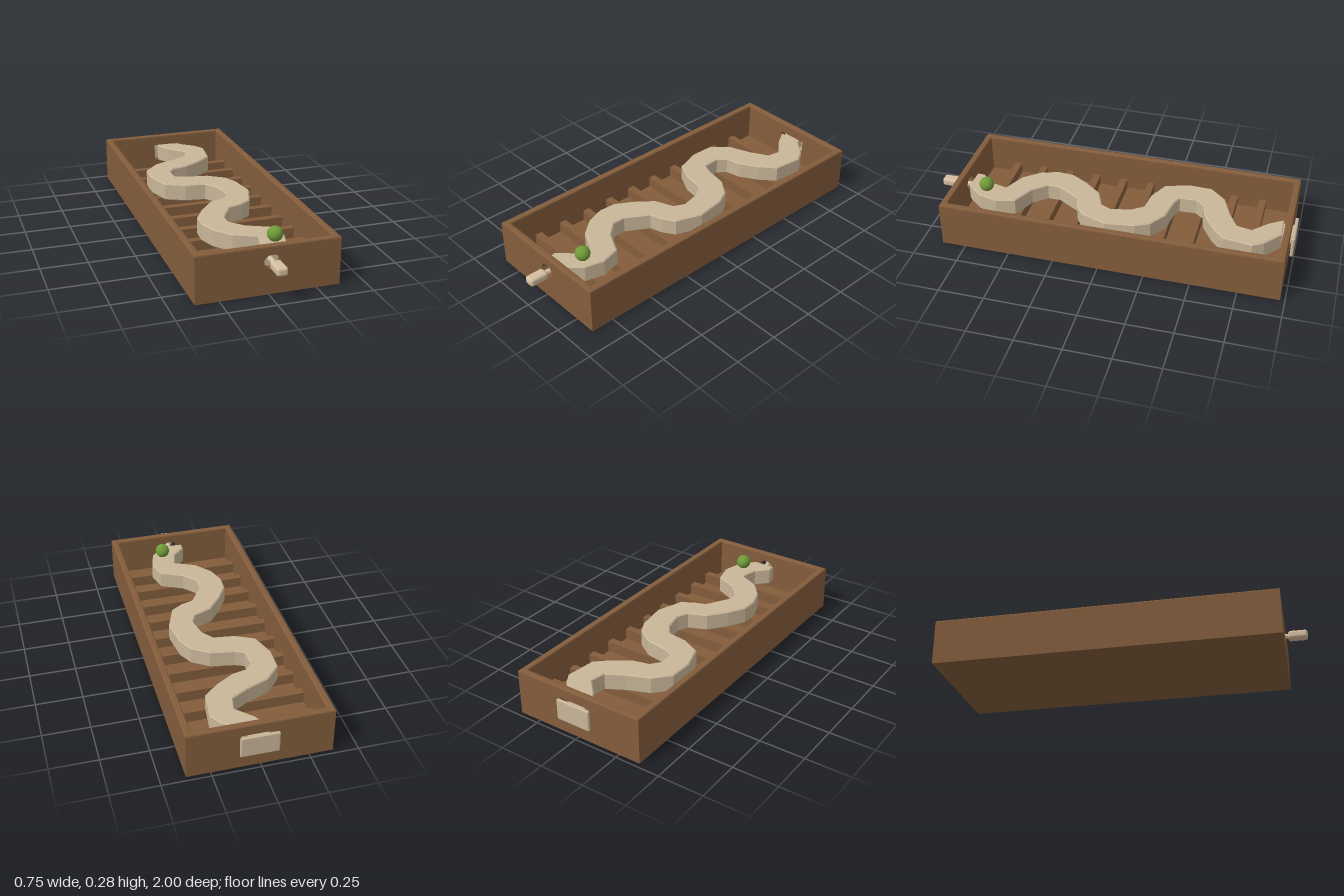
import * as THREE from 'three';
import { RoundedBoxGeometry } from 'three/addons/geometries/RoundedBoxGeometry.js';

const wood = new THREE.MeshStandardMaterial({ color: 0x835d3c });
wood.name = 'brown wood';
const pale = new THREE.MeshStandardMaterial({ color: 0xc9b699 });
pale.name = 'pale wood';
const handleTan = new THREE.MeshStandardMaterial({ color: 0xd6bea0 });
handleTan.name = 'handle tan';
const green = new THREE.MeshStandardMaterial({ color: 0x6f9a38 });
green.name = 'green';

// Tray dimensions
const HALF_W = 0.373, FRONT = 0.88, BACK = -0.975, WALL = 0.036, TOP = 0.254, EDGE = 0.008;
const LENGTH = FRONT - BACK, MID_Z = (FRONT + BACK) / 2;
const FLOOR_Y = 0.04, TRACK_TOP = 0.195, TRACK_BOTTOM = 0.097;

// Track edges as x, z pairs, running from back to front
const leftEdge = [
  -0.053, -0.926, -0.005, -0.847, 0.074, -0.767, 0.058, -0.688, -0.037, -0.635, -0.159, -0.587,
  -0.238, -0.5, -0.243, -0.37, -0.2, -0.238, -0.095, -0.185, 0.016, -0.17, 0.063, -0.106,
  0.085, 0, 0.058, 0.058, -0.042, 0.1, -0.12, 0.196, -0.175, 0.29, -0.18, 0.38,
  -0.148, 0.476, -0.074, 0.566, 0.04, 0.62, 0.016, 0.714, -0.048, 0.778, -0.048, 0.822,
];
const rightEdge = [
  0.074, -0.93, 0.17, -0.85, 0.206, -0.79, 0.185, -0.63, 0.106, -0.56, 0.01, -0.5,
  -0.074, -0.48, -0.11, -0.434, -0.106, -0.344, -0.058, -0.323, 0.07, -0.3, 0.16, -0.238,
  0.2, -0.16, 0.222, 0, 0.17, 0.143, 0.106, 0.185, 0.037, 0.206, -0.037, 0.33,
  -0.037, 0.397, 0.026, 0.47, 0.148, 0.53, 0.175, 0.635, 0.148, 0.74, 0.074, 0.825,
];

function add(parent, name, geometry, material, x = 0, y = 0, z = 0) {
  const mesh = new THREE.Mesh(geometry, material);
  mesh.name = name;
  mesh.position.set(x, y, z);
  parent.add(mesh);
  return mesh;
}

function rect(path, x0, y0, x1, y1) {
  path.moveTo(x0, y0);
  path.lineTo(x1, y0);
  path.lineTo(x1, y1);
  path.lineTo(x0, y1);
  path.closePath();
  return path;
}

// End wall with an opening for the handle or plate
function endWall(hole) {
  const shape = rect(new THREE.Shape(), -HALF_W, 0, HALF_W, TOP - EDGE);
  shape.holes.push(hole);
  return new THREE.ExtrudeGeometry(shape, { depth: WALL, bevelEnabled: false, curveSegments: 20 });
}

function buildTray() {
  const tray = new THREE.Group();
  tray.name = 'tray';
  const innerW = 2 * (HALF_W - WALL), innerL = LENGTH - 2 * WALL;
  add(tray, 'floor', new THREE.BoxGeometry(innerW, FLOOR_Y, innerL), wood, 0, FLOOR_Y / 2, MID_Z);

  for (const side of [-1, 1]) {
    add(tray, side > 0 ? 'leftWall' : 'rightWall', new THREE.BoxGeometry(WALL, TOP - EDGE, innerL),
      wood, side * (HALF_W - WALL / 2), (TOP - EDGE) / 2, MID_Z);
  }
  const roundHole = new THREE.Path().absellipse(0.017, 0.17, 0.043, 0.036, 0, Math.PI * 2, true);
  add(tray, 'frontWall', endWall(roundHole), wood, 0, 0, FRONT - WALL);
  add(tray, 'backWall', endWall(rect(new THREE.Path(), -0.07, 0.1, 0.1, 0.195)), wood, 0, 0, BACK);

  // Chamfered rim on top of the walls
  const ring = rect(new THREE.Shape(), -HALF_W + EDGE, -LENGTH / 2 + EDGE, HALF_W - EDGE, LENGTH / 2 - EDGE);
  const hx = HALF_W - WALL + EDGE, hz = LENGTH / 2 - WALL + EDGE;
  ring.holes.push(rect(new THREE.Path(), -hx, -hz, hx, hz));
  const rim = new THREE.ExtrudeGeometry(ring, {
    depth: 0.0002, bevelThickness: EDGE, bevelSize: EDGE, bevelSegments: 2,
  });
  rim.rotateX(-Math.PI / 2);
  add(tray, 'rim', rim, wood, 0, TOP - EDGE, MID_Z);

  // Evenly spaced ribs under the track
  for (let i = 1; i <= 10; i++) {
    const z = BACK + WALL + (innerL * i) / 11;
    add(tray, 'rib' + i, new THREE.BoxGeometry(innerW, 0.06, 0.04), wood, 0, FLOOR_Y + 0.03, z);
  }
  return tray;
}

function buildTrack() {
  const points = [];
  for (let i = 0; i < leftEdge.length; i += 2) points.push(new THREE.Vector2(leftEdge[i], -leftEdge[i + 1]));
  for (let i = rightEdge.length - 2; i >= 0; i -= 2) points.push(new THREE.Vector2(rightEdge[i], -rightEdge[i + 1]));
  const bevel = 0.006;
  const geometry = new THREE.ExtrudeGeometry(new THREE.Shape(points), {
    depth: TRACK_TOP - TRACK_BOTTOM - 2 * bevel,
    bevelThickness: bevel, bevelSize: bevel, bevelOffset: -bevel, bevelSegments: 1,
  });
  geometry.rotateX(-Math.PI / 2);
  geometry.translate(0, TRACK_BOTTOM + bevel, 0);
  return geometry;
}

export function createModel() {
  const model = new THREE.Group();
  model.name = 'marbleTray';
  model.add(buildTray());
  add(model, 'windingTrack', buildTrack(), pale);
  add(model, 'ball', new THREE.SphereGeometry(0.04, 32, 20), green, 0.095, 0.236, 0.71);

  // Front handle on a thin rod through the round hole
  const handle = new THREE.Group();
  handle.name = 'handle';
  handle.position.set(0.023, 0.165, 0);
  add(handle, 'grip', new RoundedBoxGeometry(0.058, 0.046, 0.105, 4, 0.015), handleTan, 0, 0, 0.9475);
  const rod = new THREE.CylinderGeometry(0.014, 0.014, 0.09, 16);
  rod.rotateX(Math.PI / 2);
  add(handle, 'rod', rod, handleTan, 0, 0, 0.86);
  model.add(handle);

  // Back plate with its mounting block
  const plate = new THREE.Group();
  plate.name = 'backPlate';
  add(plate, 'plate', new RoundedBoxGeometry(0.2, 0.118, 0.018, 3, 0.008), pale, 0.01, 0.139, -0.991);
  add(plate, 'mount', new THREE.BoxGeometry(0.1, 0.05, 0.06), pale, 0.01, 0.155, -0.957);
  model.add(plate);
  return model;
}
